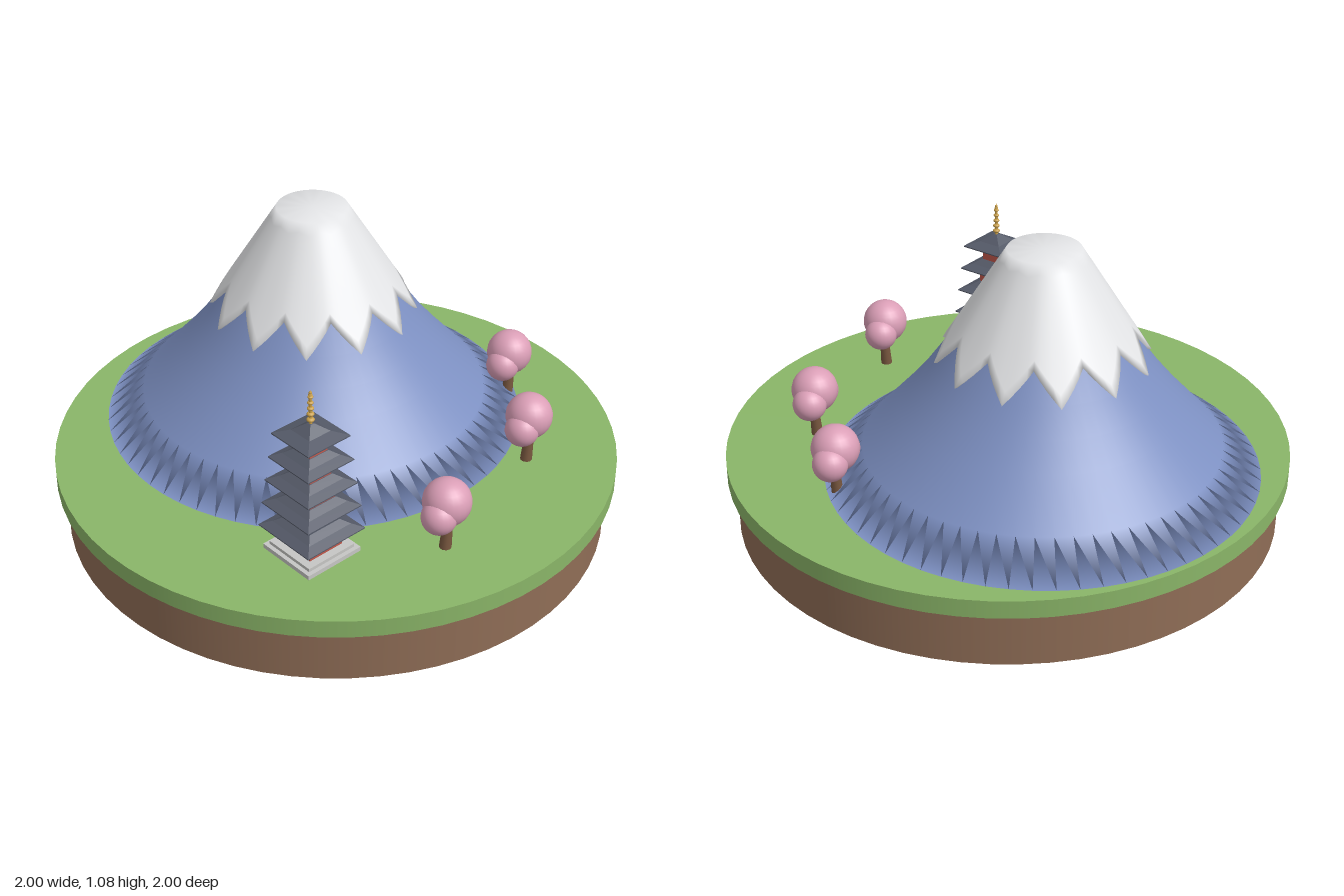
import * as THREE from 'three';
import { mergeVertices } from 'three/addons/utils/BufferGeometryUtils.js';

const mat = (name, color, flatShading = false) => {
  const m = new THREE.MeshStandardMaterial({ color, flatShading });
  m.name = name;
  return m;
};

const GROUND = 0.265;
const PEAK = 1.08;

// Mountain slope as [radius, height], from foot to peak
const SLOPE = [[0.755, GROUND], [0.62, 0.372], [0.49, 0.515], [0.42, 0.6],
  [0.355, 0.69], [0.295, 0.79], [0.21, 0.935], [0.125, PEAK]];

function slopeRadius(y) {
  for (let i = 1; i < SLOPE.length; i++) {
    const [r0, y0] = SLOPE[i - 1], [r1, y1] = SLOPE[i];
    if (y <= y1) return r0 + (r1 - r0) * (y - y0) / (y1 - y0);
  }
  return SLOPE[SLOPE.length - 1][0];
}

const lathe = (pts, segments, phi = 0) =>
  new THREE.LatheGeometry(pts.map(([x, y]) => new THREE.Vector2(x, y)), segments, phi);

// Snow shell whose lower edge is a ring of twelve pointed teeth
function snowGeometry() {
  const rows = 10;
  const pts = Array.from({ length: rows + 3 }, (_, j) => [0.1, j]);
  const geo = lathe(pts, 96);
  const pos = geo.attributes.position;
  const n = pts.length;
  for (let i = 0; i < pos.count; i++) {
    const j = i % n;
    const s = Math.floor(i / n);
    const a = s / 96 * Math.PI * 2;
    const tooth = 1 - Math.abs((s % 8) / 4 - 1);      // 0 in notches, 1 at tips
    const edge = 0.79 - 0.105 * tooth;
    const t = Math.min(Math.max(j - 1, 0) / rows, 1);
    const y = edge + (PEAK - edge) * t;
    let r = slopeRadius(y) + 0.012 * (1 - t);
    if (j === 0) r -= 0.03;                           // tucked underside
    if (j === n - 1) r = 0;                           // closed summit
    pos.setXYZ(i, r * Math.sin(a), y, r * Math.cos(a));
  }
  geo.deleteAttribute('uv');
  geo.deleteAttribute('normal');
  const merged = mergeVertices(geo, 1e-5);
  merged.computeVertexNormals();
  return merged;
}

export function createModel() {
  const soil = mat('soil brown', 0x8f6d56);
  const grass = mat('grass green', 0x8ab568);
  const rock = mat('mountain blue', 0x7d90c2);
  const snow = mat('snow white', 0xe4e5e7);
  const red = mat('wall red', 0xc2584c);
  const slate = mat('roof slate', 0x555a68, true);
  const stone = mat('stone grey', 0xc6c6c4);
  const gold = mat('gold', 0xcaa14c);
  const bark = mat('bark brown', 0x78573f);
  const pink = mat('blossom pink', 0xdb9fb7);

  const model = new THREE.Group();
  model.name = 'mountainIsland';
  const add = (parent, name, geo, material, x = 0, y = 0, z = 0) => {
    const m = new THREE.Mesh(geo, material);
    m.name = name;
    m.position.set(x, y, z);
    parent.add(m);
    return m;
  };
  const group = (name, x, y, z) => {
    const g = new THREE.Group();
    g.name = name;
    g.position.set(x, y, z);
    model.add(g);
    return g;
  };

  // Round base
  add(model, 'soilBase', new THREE.CylinderGeometry(0.97, 0.97, 0.2, 64), soil, 0, 0.1, 0);
  add(model, 'grassDisc', new THREE.CylinderGeometry(1, 1, GROUND - 0.2, 64), grass,
    0, (GROUND + 0.2) / 2, 0);

  // Mountain and its snow cap
  const mountain = group('mountain', 0.08, 0, -0.21);
  const body = [[0, GROUND], ...SLOPE.slice(0, -1), [0.13, 1.06], [0, 1.06]];
  add(mountain, 'mountainBody', lathe(body, 64), rock);
  add(mountain, 'snowCap', snowGeometry(), snow);

  // Five-tier pagoda
  const pagoda = group('pagoda', -0.49, GROUND, 0.425);
  add(pagoda, 'lowerStep', new THREE.BoxGeometry(0.225, 0.016, 0.225), stone, 0, 0.008, 0);
  add(pagoda, 'upperStep', new THREE.BoxGeometry(0.195, 0.012, 0.195), stone, 0, 0.022, 0);
  const tiers = 5;
  for (let i = 0; i < tiers; i++) {
    const y = 0.028 + i * 0.0905;
    const wall = 0.14 - i * 0.0165;
    const eave = 0.122 - i * 0.0085;
    const top = i === tiers - 1;
    add(pagoda, 'wall' + (i + 1), new THREE.BoxGeometry(wall, 0.085, wall), red, 0, y + 0.0425, 0);
    // Four-sided roof: flat underside, thin eave, hollow slope
    const k = Math.SQRT2;
    const inner = top ? 0.008 : wall / 2 - 0.006;
    const roof = [[0, 0], [eave * k, 0], [eave * k, 0.004],
      [(eave * 0.45 + inner * 0.55) * k, 0.019], [inner * k, top ? 0.045 : 0.036],
      [0, top ? 0.048 : 0.036]];
    add(pagoda, 'roof' + (i + 1), lathe(roof, 4, Math.PI / 4), slate, 0, y + 0.064, 0);
  }
  // Ringed finial
  add(pagoda, 'finialPole', new THREE.CylinderGeometry(0.005, 0.006, 0.12, 10), gold, 0, 0.555, 0);
  for (let i = 0; i < 5; i++) {
    const bead = add(pagoda, 'finialRing' + (i + 1),
      new THREE.SphereGeometry(0.0135 - i * 0.001, 12, 8), gold, 0, 0.513 + i * 0.021, 0);
    bead.scale.y = 0.6;
  }
  add(pagoda, 'finialTip', new THREE.ConeGeometry(0.007, 0.018, 10), gold, 0, 0.614, 0);

  // Blossom trees: [x, z]
  const blossoms = [[0, 0.182, 0, 0.082], [0.055, 0.155, -0.025, 0.06], [-0.05, 0.153, 0.015, 0.06]];
  [[-0.155, 0.705], [0.405, 0.55], [0.66, 0.22]].forEach(([x, z], i) => {
    const tree = group('blossomTree' + (i + 1), x, GROUND, z);
    const trunk = add(tree, 'trunk', new THREE.CylinderGeometry(0.015, 0.021, 0.14, 10), bark,
      0.003, 0.068, 0.003);
    trunk.rotation.z = -0.08;
    blossoms.forEach(([bx, by, bz, r], j) =>
      add(tree, 'blossom' + (j + 1), new THREE.SphereGeometry(r, 24, 16), pink, bx, by, bz));
  });

  return model;
}
